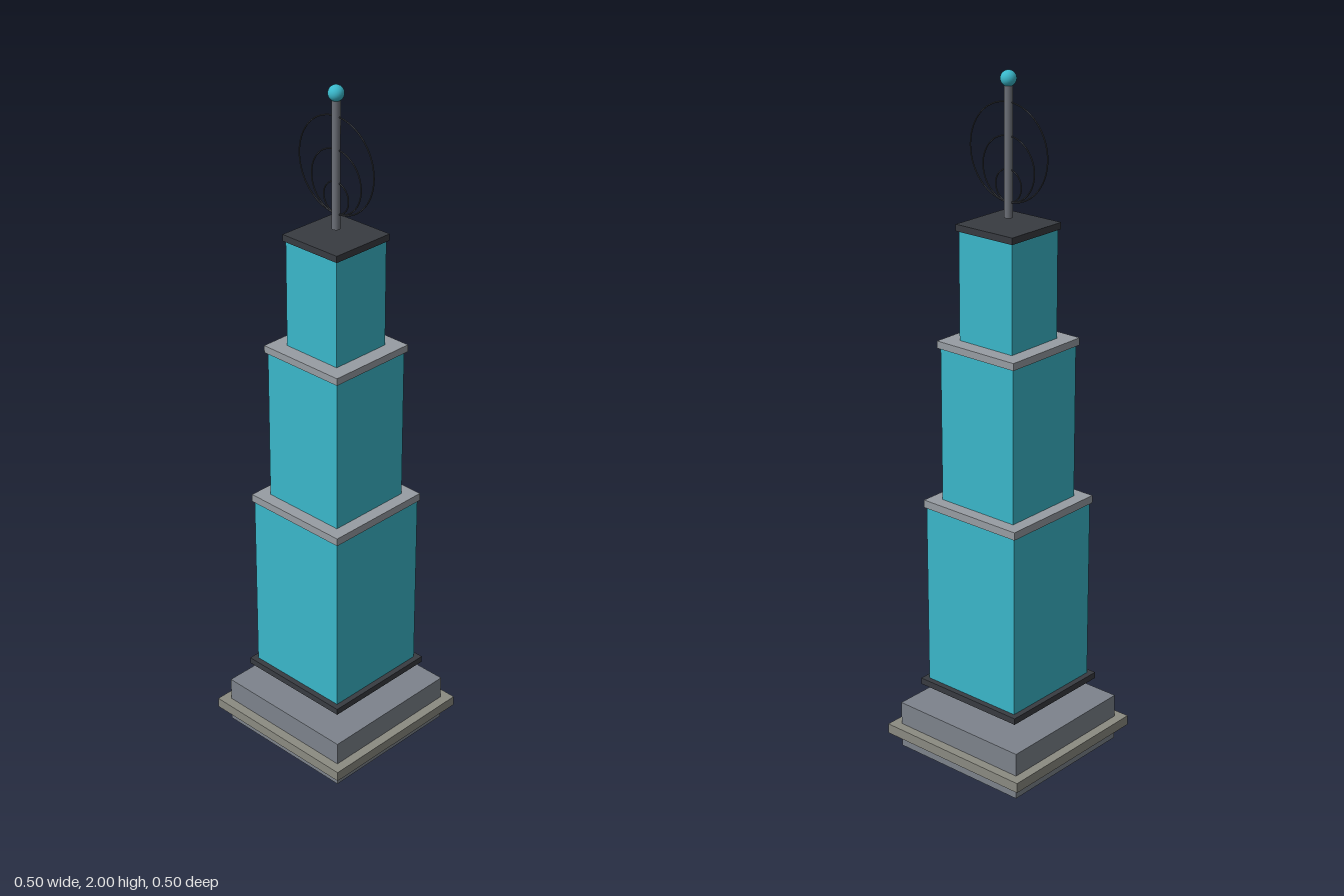
import * as THREE from 'three';

const mat = (color) => new THREE.MeshStandardMaterial({ color });

export function createModel() {
  const group = new THREE.Group();
  const stone = mat(0x7d838c), sand = mat(0x8b8b82), dark = mat(0x383b41);
  const glass = mat(0x3ab8cb), ledge = mat(0x979da3), metal = mat(0x6c7078);

  const add = (name, geometry, material, y) => {
    const mesh = new THREE.Mesh(geometry, material);
    mesh.name = name;
    mesh.position.y = y;
    group.add(mesh);
  };

  // Square blocks: name, half width, bottom, top, material
  const blocks = [
    ['base', 0.222, 0, 0.143, stone],
    ['baseLedge', 0.25, 0.043, 0.073, sand],
    ['towerPlate', 0.18, 0.203, 0.222, dark],
    ['lowerTower', 0.163, 0.222, 0.765, glass],
    ['lowerLedge', 0.168, 0.765, 0.788, ledge],
    ['middleTower', 0.131, 0.776, 1.239, glass],
    ['middleLedge', 0.138, 1.239, 1.26, ledge],
    ['upperTower', 0.094, 1.25, 1.569, glass],
    ['roofCap', 0.1, 1.569, 1.588, dark],
  ];
  for (const [name, half, y0, y1, material] of blocks) {
    add(name, new THREE.BoxGeometry(half * 2, y1 - y0, half * 2), material, (y0 + y1) / 2);
  }

  // Mast with its ball
  add('mast', new THREE.CylinderGeometry(0.012, 0.012, 0.376, 16), metal, 1.792);
  add('mastBall', new THREE.SphereGeometry(0.022, 24, 16), glass, 1.978);

  // Upright rings that touch at their lowest point
  for (const radius of [0.045, 0.09, 0.135]) {
    add('antennaRing', new THREE.TorusGeometry(radius, 0.002, 8, 64), dark, 1.646 + radius);
  }
  return group;
}
